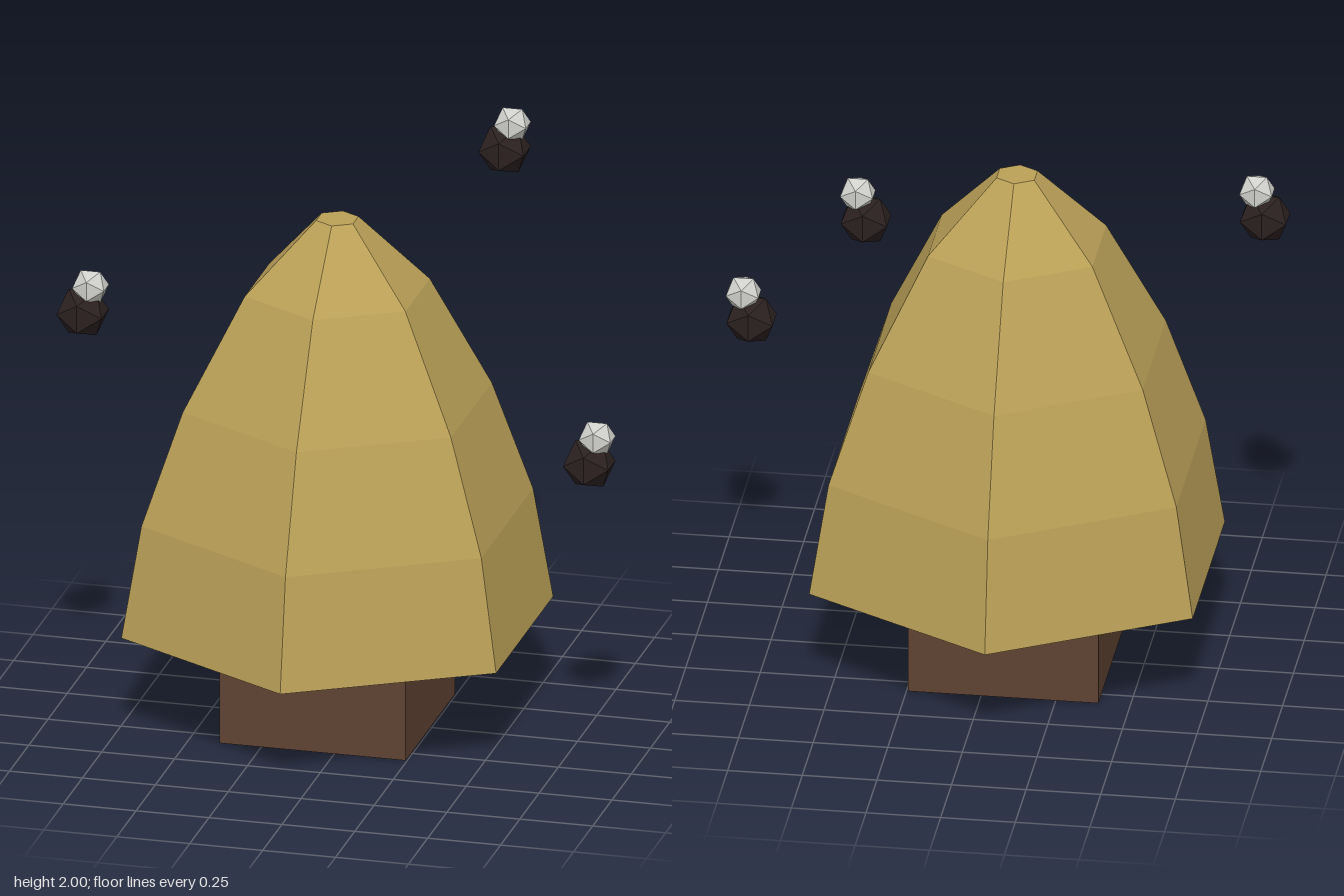
import * as THREE from 'three';

function flat(name, hex) {
  const m = new THREE.MeshStandardMaterial({ color: hex });
  m.name = name;
  m.flatShading = true;
  return m;
}

export function createModel() {
  const straw = flat('straw', 0xbaa057);
  const wood = flat('wood', 0x5e4231);
  const dark = flat('dark body', 0x2b2020);
  const pale = flat('pale wings', 0xd0d0cc);

  const model = new THREE.Group();
  const add = (parent, name, geometry, material, x, y, z) => {
    const mesh = new THREE.Mesh(geometry, material);
    mesh.name = name;
    mesh.position.set(x, y, z);
    parent.add(mesh);
  };

  // Hive: six-sided stepped dome on a square block
  const hive = new THREE.Group();
  hive.name = 'hive';
  hive.position.x = -0.074;
  model.add(hive);
  const profile = [
    [0, 0.36], [0.742, 0.36], [0.673, 0.75], [0.531, 1.14],
    [0.318, 1.53], [0.073, 1.775], [0, 1.775],
  ].map(([r, y]) => new THREE.Vector2(r, y));
  add(hive, 'dome', new THREE.LatheGeometry(profile, 6), straw, 0, 0, 0);
  add(hive, 'base', new THREE.BoxGeometry(0.638, 0.36, 0.638), wood, 0, 0.18, 0);

  // Three bees hovering around the hive
  const bodyShape = new THREE.IcosahedronGeometry(0.091, 0);
  const wingShape = new THREE.IcosahedronGeometry(0.064, 0);
  [[0.847, 1.074, 0.215], [0.35, 1.853, -0.567], [-0.853, 1.499, 0.357]].forEach(([x, y, z]) => {
    const bee = new THREE.Group();
    bee.name = 'bee';
    bee.position.set(x, y, z);
    add(bee, 'beeBody', bodyShape, dark, 0, 0, 0);
    add(bee, 'beeWings', wingShape, pale, 0.027, 0.093, 0);
    model.add(bee);
  });

  return model;
}
